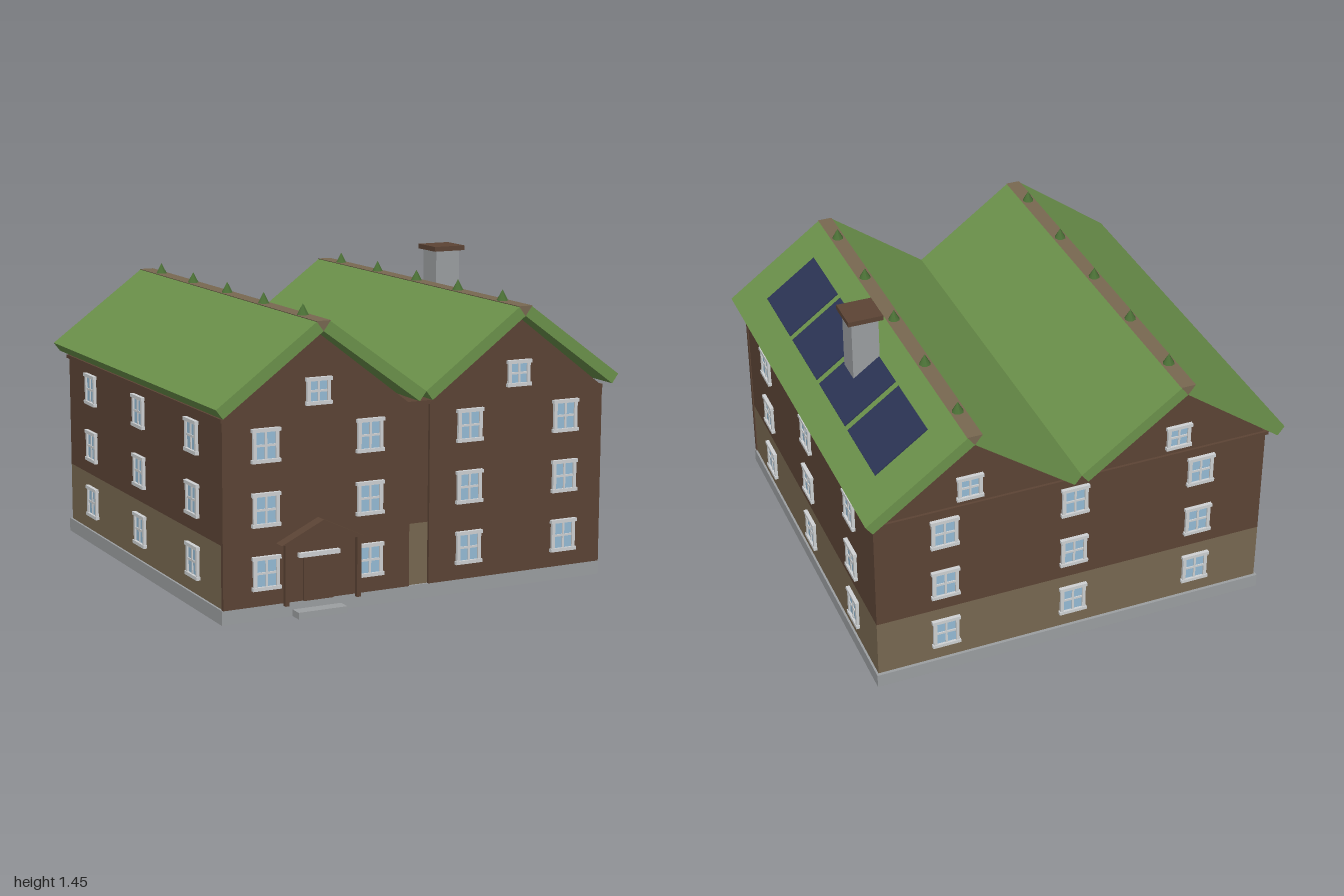
import * as THREE from 'three';
import { mergeGeometries } from 'three/addons/utils/BufferGeometryUtils.js';

const mat = (name, color) => {
  const m = new THREE.MeshStandardMaterial({ color });
  m.name = name;
  return m;
};

export function createModel() {
  const wood = mat('dark wood', 0x5c4435);
  const tan = mat('tan plaster', 0x786851);
  const stone = mat('grey stone', 0x9c9fa1);
  const grass = mat('roof green', 0x6c924b);
  const shrub = mat('shrub green', 0x4a6f35);
  const trim = mat('pale trim', 0xcfd2d4);
  const glass = mat('window glass', 0x95bcd6);
  const solar = mat('solar blue', 0x2c3555);

  const model = new THREE.Group();
  model.name = 'house';

  const add = (name, geometry, material, parent = model) => {
    const mesh = new THREE.Mesh(geometry, material);
    mesh.name = name;
    parent.add(mesh);
    return mesh;
  };
  // Box given by its limits on each axis
  const boxGeo = (x0, x1, y0, y1, z0, z1) =>
    new THREE.BoxGeometry(x1 - x0, y1 - y0, z1 - z0)
      .translate((x0 + x1) / 2, (y0 + y1) / 2, (z0 + z1) / 2);
  const box = (name, m, ...limits) => add(name, boxGeo(...limits), m);
  // Outline in x and y drawn out from z0 to z1
  const prism = (name, m, points, z0, z1) => {
    const shape = new THREE.Shape(points.map(([x, y]) => new THREE.Vector2(x, y)));
    const g = new THREE.ExtrudeGeometry(shape, { depth: z1 - z0, bevelEnabled: false });
    return add(name, g.translate(0, 0, z0), m);
  };

  // Foundation and walls
  box('foundation', stone, -0.955, 0.955, 0, 0.065, -0.945, 0.94);
  box('lowerWalls', tan, -0.945, 0.945, 0.065, 0.345, -0.93, 0.93);
  box('upperWalls', wood, -0.945, 0.945, 0.345, 0.885, -0.93, 0.93);
  box('cornice', wood, -0.955, 0.955, 0.88, 0.897, -0.942, 0.942);

  // Twin gables and their roofs
  const slope = 0.34 / 0.47;
  for (const cx of [-0.5, 0.5]) {
    prism('attic', wood, [[cx - 0.45, 0.885], [cx + 0.45, 0.885], [cx, 1.235]], -0.93, 0.93);
    prism('frontCladding', wood, [
      [cx - 0.45, 0.065], [cx + 0.45, 0.065], [cx + 0.45, 0.89], [cx, 1.235], [cx - 0.45, 0.89],
    ], 0.925, 0.945);
    for (const s of [-1, 1]) {
      prism('roofSlope', grass, [
        [cx + s * 0.5, 0.95], [cx + s * 0.032, 1.29], [cx, 1.248], [cx + s * 0.468, 0.908],
      ], -1, 1);
    }
    prism('ridgeCap', tan, [[cx - 0.035, 1.293], [cx, 1.246], [cx + 0.035, 1.293]], -1, 1);
    for (let i = -2; i <= 2; i++) {
      const cone = new THREE.ConeGeometry(0.03, 0.055, 8);
      add('ridgeShrub', cone, shrub).position.set(cx, 1.315, i * 0.4);
    }
  }

  // Solar panels on the right-hand slope
  for (const z of [-0.6, -0.2, 0.2, 0.6]) {
    const top = (x) => 1.29 - (x - 0.532) * slope;
    prism('solarPanel', solar, [
      [0.63, top(0.63) - 0.003], [0.875, top(0.875) - 0.003],
      [0.878, top(0.875) + 0.005], [0.633, top(0.63) + 0.005],
    ], z - 0.18, z + 0.18);
  }

  // Chimney
  box('chimney', stone, 0.63, 0.758, 1.0, 1.425, -0.165, -0.037);
  box('chimneyCap', wood, 0.613, 0.778, 1.422, 1.445, -0.184, -0.019);

  // Windows: jambs, wider head and sill, crossed glazing bars
  const frameGeo = (w, h) => {
    const a = w / 2, b = h / 2;
    const parts = [
      boxGeo(-a, a, b - 0.016, b, 0, 0.018),
      boxGeo(-a, a, -b, -b + 0.016, 0, 0.018),
      boxGeo(-0.005, 0.005, -b, b, 0, 0.011),
      boxGeo(-a + 0.01, a - 0.01, -0.005, 0.005, 0, 0.011),
    ];
    for (const s of [-1, 1]) {
      const x = s * (a - 0.014);
      parts.push(boxGeo(x - 0.008, x + 0.008, -b, b, 0, 0.014));
    }
    return mergeGeometries(parts);
  };
  const makeKit = (w, h) => ({
    frame: frameGeo(w, h),
    pane: boxGeo(-w / 2 + 0.014, w / 2 - 0.014, -h / 2 + 0.01, h / 2 - 0.01, 0, 0.006),
  });
  const normal = makeKit(0.135, 0.15);
  const small = makeKit(0.125, 0.12);
  const addWindow = (kit, x, y, z, turn) => {
    const g = new THREE.Group();
    g.name = 'window';
    add('windowFrame', kit.frame, trim, g);
    add('windowPane', kit.pane, glass, g);
    g.position.set(x, y, z);
    g.rotation.y = turn;
    model.add(g);
  };
  for (const y of [0.212, 0.49, 0.77]) {
    for (const x of [-0.75, -0.25, 0.25, 0.75]) addWindow(normal, x, y, 0.945, 0);
    for (const p of [-0.62, 0, 0.62]) {
      addWindow(normal, p, y, -0.93, Math.PI);
      addWindow(normal, 0.945, y, p, Math.PI / 2);
      addWindow(normal, -0.945, y, p, -Math.PI / 2);
    }
  }
  for (const x of [-0.5, 0.5]) {
    addWindow(small, x, 0.985, 0.945, 0);
    addWindow(small, x, 0.985, -0.93, Math.PI);
  }

  // Entrance: door, lintel, step and gabled porch
  box('door', wood, -0.573, -0.43, 0.065, 0.265, 0.94, 0.955);
  box('doorLintel', trim, -0.598, -0.402, 0.262, 0.282, 0.94, 0.965);
  box('doorStep', stone, -0.62, -0.385, 0, 0.03, 0.93, 1.0);
  for (const s of [-1, 1]) {
    const x = -0.5 + s * 0.173;
    box('porchPost', wood, x - 0.01, x + 0.01, 0.065, 0.34, 0.98, 1.0);
  }
  prism('porchRoof', wood, [[-0.7, 0.335], [-0.3, 0.335], [-0.5, 0.43]], 0.94, 1.002);

  return model;
}
